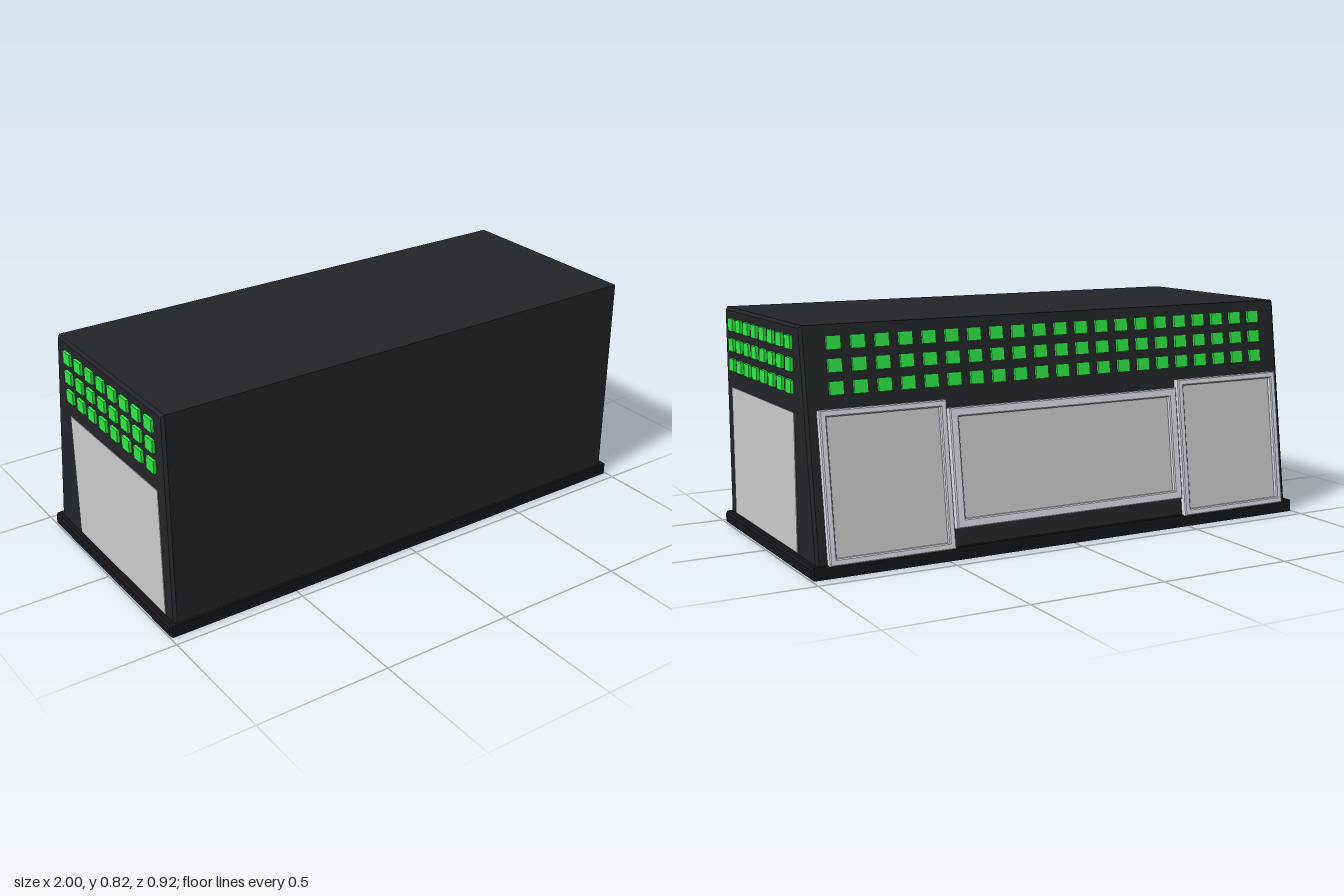
import * as THREE from 'three';

const mat = (color) => new THREE.MeshStandardMaterial({ color });
const bodyMat = mat(0x222428), baseMat = mat(0x15161a), lightMat = mat(0x2ee845);
const panelMat = mat(0xcccccc), frameMat = mat(0xdcdce6);

function add(parent, name, geometry, material, x = 0, y = 0, z = 0) {
  const mesh = new THREE.Mesh(geometry, material);
  mesh.name = name;
  mesh.position.set(x, y, z);
  parent.add(mesh);
  return mesh;
}

// Extrudes a [z, y] side profile across x with chamfered edges
function sideExtrude(points, width, bevel) {
  const shape = new THREE.Shape(points.map(([z, y]) => new THREE.Vector2(-z, y)));
  const geometry = new THREE.ExtrudeGeometry(shape, {
    depth: width - 2 * bevel, bevelEnabled: true, bevelSize: bevel,
    bevelThickness: bevel, bevelOffset: -bevel, bevelSegments: 1,
  });
  geometry.translate(0, 0, -width / 2 + bevel);
  return geometry.rotateY(Math.PI / 2);
}

function rectangle(Type, w, h) {
  return new Type([[-w, -h], [w, -h], [w, h], [-w, h]].map(([x, y]) => new THREE.Vector2(x / 2, y / 2)));
}

// Raised frame with a recessed pane; outward is -z
function windowFrame(name, w, h, border, depth) {
  const group = new THREE.Group();
  group.name = name;
  const bevel = 0.004;
  const shape = rectangle(THREE.Shape, w, h);
  shape.holes.push(rectangle(THREE.Path, w - 2 * border, h - 2 * border));
  const geometry = new THREE.ExtrudeGeometry(shape, {
    depth: depth - 2 * bevel, bevelEnabled: true, bevelSize: bevel,
    bevelThickness: bevel, bevelOffset: -bevel, bevelSegments: 1,
  });
  add(group, 'frame', geometry, frameMat, 0, 0, -depth + bevel);
  add(group, 'pane', new THREE.BoxGeometry(w - 1.8 * border, h - 1.8 * border, 0.012), panelMat, 0, 0, -0.007);
  return group;
}

export function createModel() {
  const model = new THREE.Group();
  model.name = 'building';

  // Base slab and main body with its sloping back wall
  add(model, 'base', sideExtrude([[0.46, 0], [-0.445, 0], [-0.445, 0.045], [0.46, 0.045]], 2, 0.008), baseMat);
  add(model, 'body', sideExtrude([[0.45, 0.02], [-0.433, 0.02], [-0.322, 0.822], [0.45, 0.822]], 1.955, 0.01), bodyMat);

  const rows = [0.762, 0.688, 0.614];

  // Side walls: large panel below three rows of lights
  const sideLight = new THREE.BoxGeometry(0.02, 0.046, 0.052);
  for (const side of [1, -1]) {
    const wall = new THREE.Group();
    wall.name = side > 0 ? 'leftWall' : 'rightWall';
    add(wall, 'sidePanel', new THREE.BoxGeometry(0.01, 0.478, 0.65), panelMat, side * 0.975, 0.289, 0.065);
    for (const y of rows) {
      for (let i = 0; i < 8; i++) {
        add(wall, 'sideLight', sideLight, lightMat, side * 0.978, y, 0.364 - i * 0.0855);
      }
    }
    model.add(wall);
  }

  // Back wall fittings, laid out in the plane of the slope
  const back = new THREE.Group();
  back.name = 'backWall';
  back.position.set(0, 0.04, -0.43);
  back.rotation.x = Math.atan(0.111 / 0.802);
  model.add(back);

  const backLight = new THREE.BoxGeometry(0.05, 0.046, 0.02);
  for (const y of rows) {
    for (let i = 0; i < 21; i++) {
      add(back, 'backLight', backLight, lightMat, (i - 10) * 0.0865, (y - 0.04) * 1.0095, 0);
    }
  }

  for (const side of [1, -1]) {
    const frame = windowFrame(side > 0 ? 'leftWindow' : 'rightWindow', 0.46, 0.512, 0.024, 0.03);
    frame.position.set(side * 0.71, 0.256, 0);
    back.add(frame);
  }
  const centre = windowFrame('centreWindow', 0.94, 0.415, 0.032, 0.03);
  centre.position.set(0, 0.275, 0);
  back.add(centre);

  return model;
}
